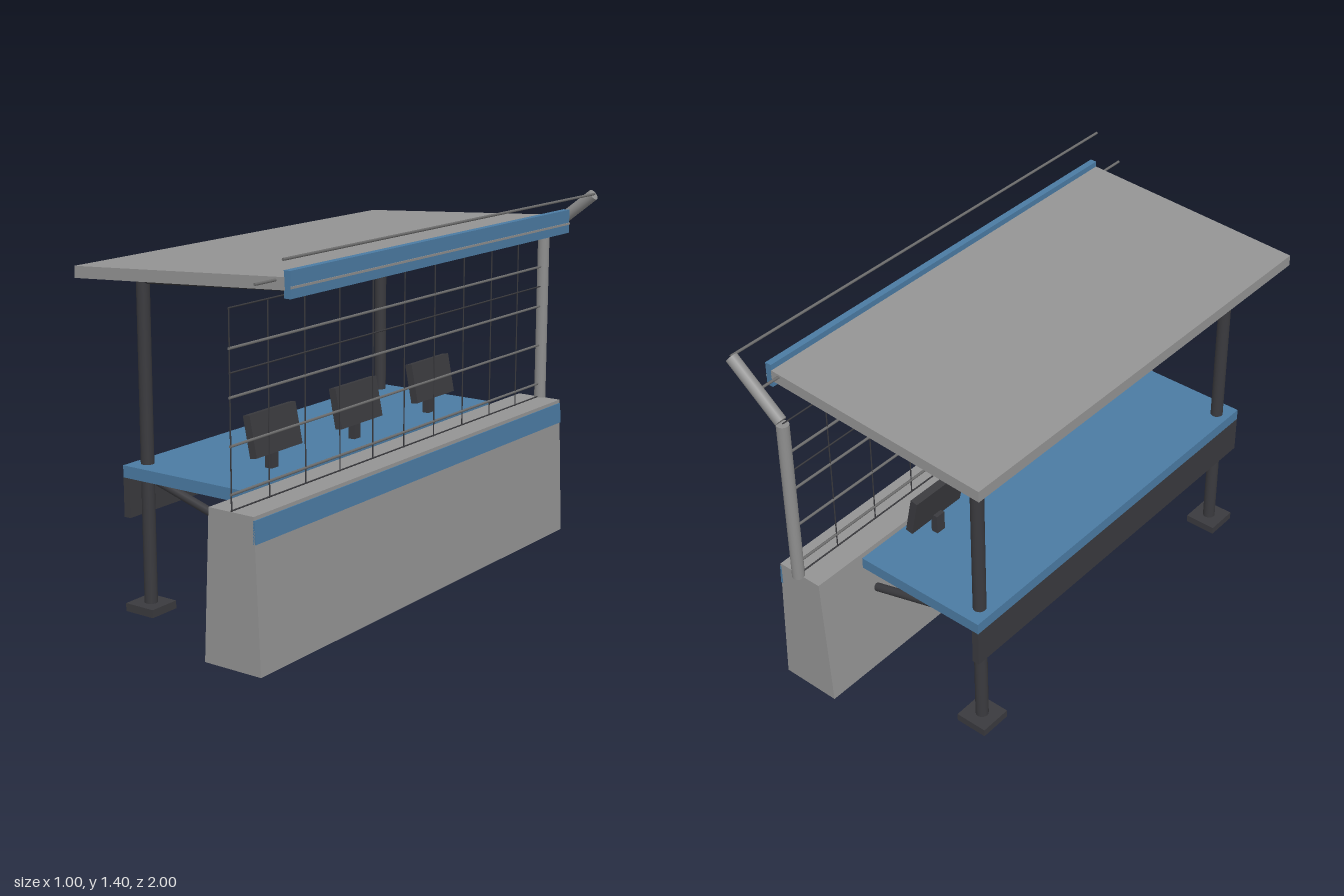
import * as THREE from 'three';

const mat = (name, color) => {
  const m = new THREE.MeshStandardMaterial({ color });
  m.name = name;
  return m;
};

export function createModel() {
  const group = new THREE.Group();
  const grey = mat('concrete grey', 0x949494);
  const blue = mat('blue', 0x4b7ba3);
  const dark = mat('dark metal', 0x3a3a3e);
  const steel = mat('light steel', 0x8e8e8e);
  const wireMat = mat('wire grey', 0x6c6c6c);

  const add = (name, geo, material) => {
    const m = new THREE.Mesh(geo, material);
    m.name = name;
    group.add(m);
    return m;
  };
  // box given by its min and max corners
  const box = (name, material, x0, x1, y0, y1, z0, z1) => {
    const m = add(name, new THREE.BoxGeometry(x1 - x0, y1 - y0, z1 - z0), material);
    m.position.set((x0 + x1) / 2, (y0 + y1) / 2, (z0 + z1) / 2);
    return m;
  };
  // x-y outline carried along z
  const prism = (name, material, pts, z0, z1) => {
    const shape = new THREE.Shape(pts.map(([x, y]) => new THREE.Vector2(x, y)));
    const geo = new THREE.ExtrudeGeometry(shape, { depth: z1 - z0, bevelEnabled: false });
    return add(name, geo.translate(0, 0, z0), material);
  };
  // round bar between two points
  const rod = (name, material, a, b, r, sides = 16) => {
    const p = new THREE.Vector3(...a), q = new THREE.Vector3(...b);
    const d = q.clone().sub(p);
    const m = add(name, new THREE.CylinderGeometry(r, r, d.length(), sides), material);
    m.position.copy(p).add(q).multiplyScalar(0.5);
    m.quaternion.setFromUnitVectors(new THREE.Vector3(0, 1, 0), d.normalize());
    return m;
  };

  // barrier wall with its painted band
  prism('wall', grey, [[0.143, 0], [0.381, 0], [0.358, 0.543], [0.17, 0.543]], -0.97, 1);
  prism('wallBand', blue, [[0.355, 0.45], [0.366, 0.45], [0.362, 0.53], [0.355, 0.53]], -0.97, 1);

  // desk and modesty board
  box('desk', blue, -0.39, 0.15, 0.502, 0.546, -0.77, 0.8);
  box('deskBoard', dark, -0.39, -0.362, 0.357, 0.502, -0.77, 0.8);

  // canopy, fascia and trim
  prism('roof', grey, [[-0.5, 1.214], [0.41, 1.266], [0.408, 1.308], [-0.5, 1.256]], -0.875, 0.895);
  box('fascia', blue, 0.406, 0.432, 1.24, 1.33, -0.875, 0.895);
  box('fasciaTrim', steel, 0.432, 0.435, 1.272, 1.28, -0.875, 0.895);

  // canopy supports
  for (const z of [0.73, -0.7]) {
    box('footPlate', dark, -0.402, -0.275, 0, 0.03, z - 0.063, z + 0.063);
    rod('canopyPost', dark, [-0.338, 0.02, z], [-0.338, 1.22, z], 0.024);
    rod('canopyBeam', dark, [-0.335, 1.204, z], [0.325, 1.246, z], 0.016);
    rod('deskBrace', dark, [-0.33, 0.5, z], [0.155, 0.357, z], 0.016);
  }

  // monitors on short stands
  for (const z of [0.51, 0.015, -0.48]) {
    box('monitorStand', dark, 0.032, 0.06, 0.546, 0.622, z - 0.02, z + 0.02);
    box('monitor', dark, 0.038, 0.068, 0.606, 0.758, z - 0.129, z + 0.129).rotation.z = 0.2;
  }

  // fence post with its raked arm
  const fx = 0.265, fz = -0.973;
  rod('fencePost', steel, [fx, 0.54, fz], [fx, 1.21, fz], 0.023);
  rod('fenceArm', steel, [0.272, 1.217, fz], [0.482, 1.382, fz], 0.023);

  // cables
  for (const [x, y] of [[fx, 0.6], [fx, 0.76], [fx, 0.92], [fx, 1.08], [0.373, 1.296], [0.485, 1.385]])
    rod('cable', wireMat, [x, y, fz], [x, y, 1], 0.005, 8);

  // thin mesh
  for (const y of [0.546, 1.0, 1.21])
    rod('meshWire', dark, [fx, y, fz], [fx, y, 1], 0.003, 6);
  for (let i = 0; i <= 10; i++) {
    const z = 1 - 0.003 - i * 0.197;
    rod('meshUpright', dark, [fx, 0.543, z], [fx, 1.21, z], 0.0025, 6);
  }

  return group;
}
